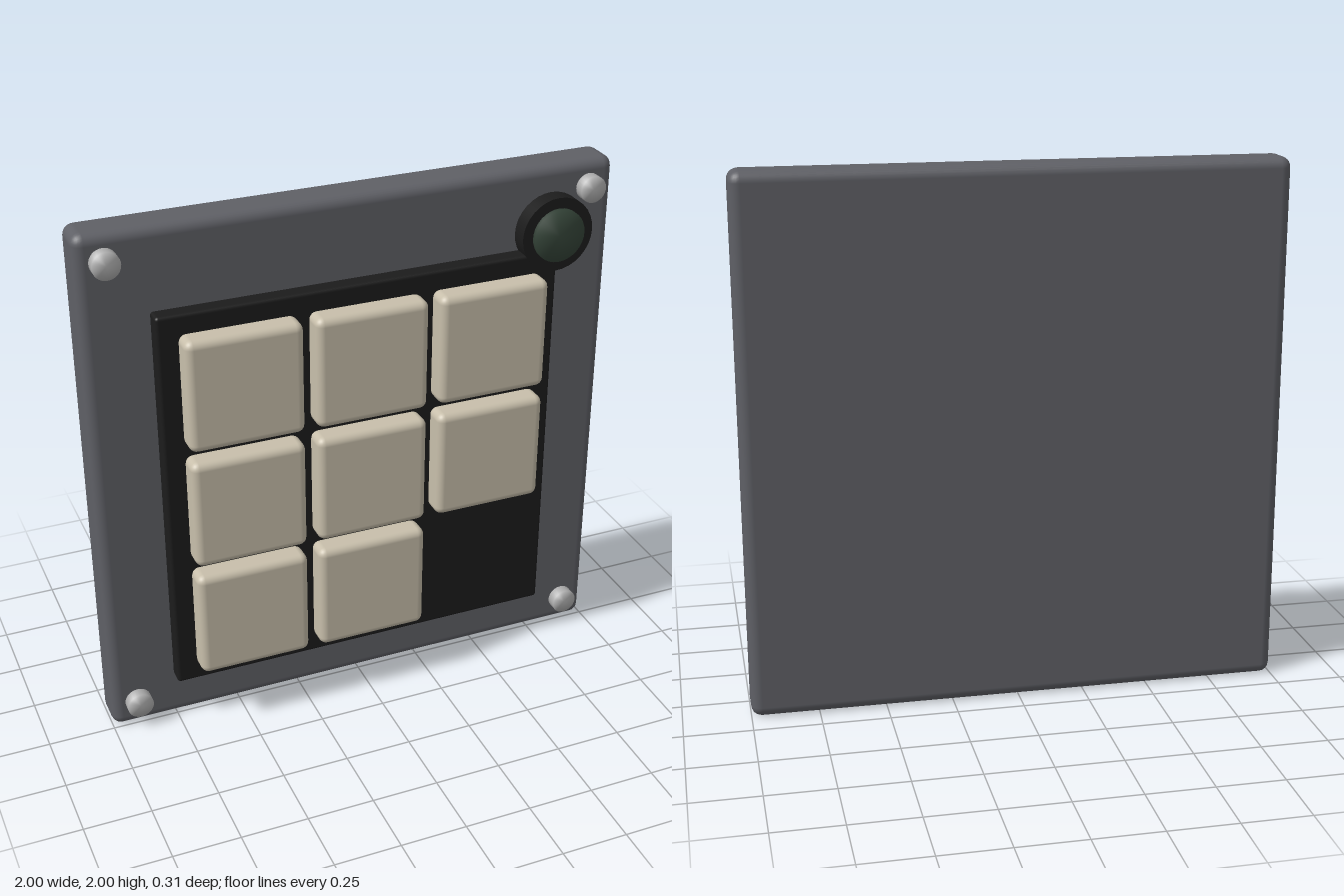
import * as THREE from 'three';
import { RoundedBoxGeometry } from 'three/addons/geometries/RoundedBoxGeometry.js';
import { mergeVertices } from 'three/addons/utils/BufferGeometryUtils.js';

const paint = (color) => new THREE.MeshStandardMaterial({ color });
const slate = paint(0x5f6066);
const black = paint(0x1c1c1c);
const cream = paint(0xc8bfab);
const steel = paint(0xb4b4b4);
const green = paint(0x36463a);

// Rounded block given by its centre and size, from z0 to z1
function block(name, material, x, y, w, h, z0, z1, radius) {
  const mesh = new THREE.Mesh(new RoundedBoxGeometry(w, h, z1 - z0, 3, radius), material);
  mesh.position.set(x, y, (z0 + z1) / 2);
  mesh.name = name;
  return mesh;
}

// Disc facing +z; soft shares normals over the rim for a domed sheen
function disc(name, material, x, y, radius, z0, z1, soft = false) {
  let geometry = new THREE.CylinderGeometry(radius, radius, z1 - z0, 32);
  if (soft) {
    geometry.deleteAttribute('normal');
    geometry.deleteAttribute('uv');
    geometry = mergeVertices(geometry);
    geometry.computeVertexNormals();
  }
  geometry.rotateX(Math.PI / 2);
  const mesh = new THREE.Mesh(geometry, material);
  mesh.position.set(x, y, (z0 + z1) / 2);
  mesh.name = name;
  return mesh;
}

export function createModel() {
  const model = new THREE.Group();
  model.name = 'slidingTilePanel';

  // Wall plate and recessed-looking tray
  model.add(block('backPlate', slate, 0, 1, 2, 2, -0.16, 0, 0.04));
  model.add(block('tileTray', black, 0, 0.94, 1.51, 1.51, -0.01, 0.06, 0.012));

  // Eight sliding tiles, with the lower right place empty
  const tiles = new THREE.Group();
  tiles.name = 'tiles';
  const pitch = 0.47;
  for (let i = 0; i < 8; i++) {
    const x = ((i % 3) - 1) * pitch;
    const y = 0.945 + (1 - Math.floor(i / 3)) * pitch;
    tiles.add(block('tile', cream, x, y, 0.426, 0.426, 0.05, 0.152, 0.03));
  }
  model.add(tiles);

  // Corner screws
  for (const x of [-0.9, 0.9]) {
    for (const y of [0.105, 1.9]) {
      model.add(disc('screw', steel, x, y, 0.05, -0.01, 0.04, true));
    }
  }

  // Indicator lamp: dark bezel with a green lens
  model.add(disc('lampBezel', black, 0.75, 1.76, 0.14, -0.01, 0.064));
  model.add(disc('lampLens', green, 0.75, 1.76, 0.1, 0.03, 0.08, true));

  return model;
}
